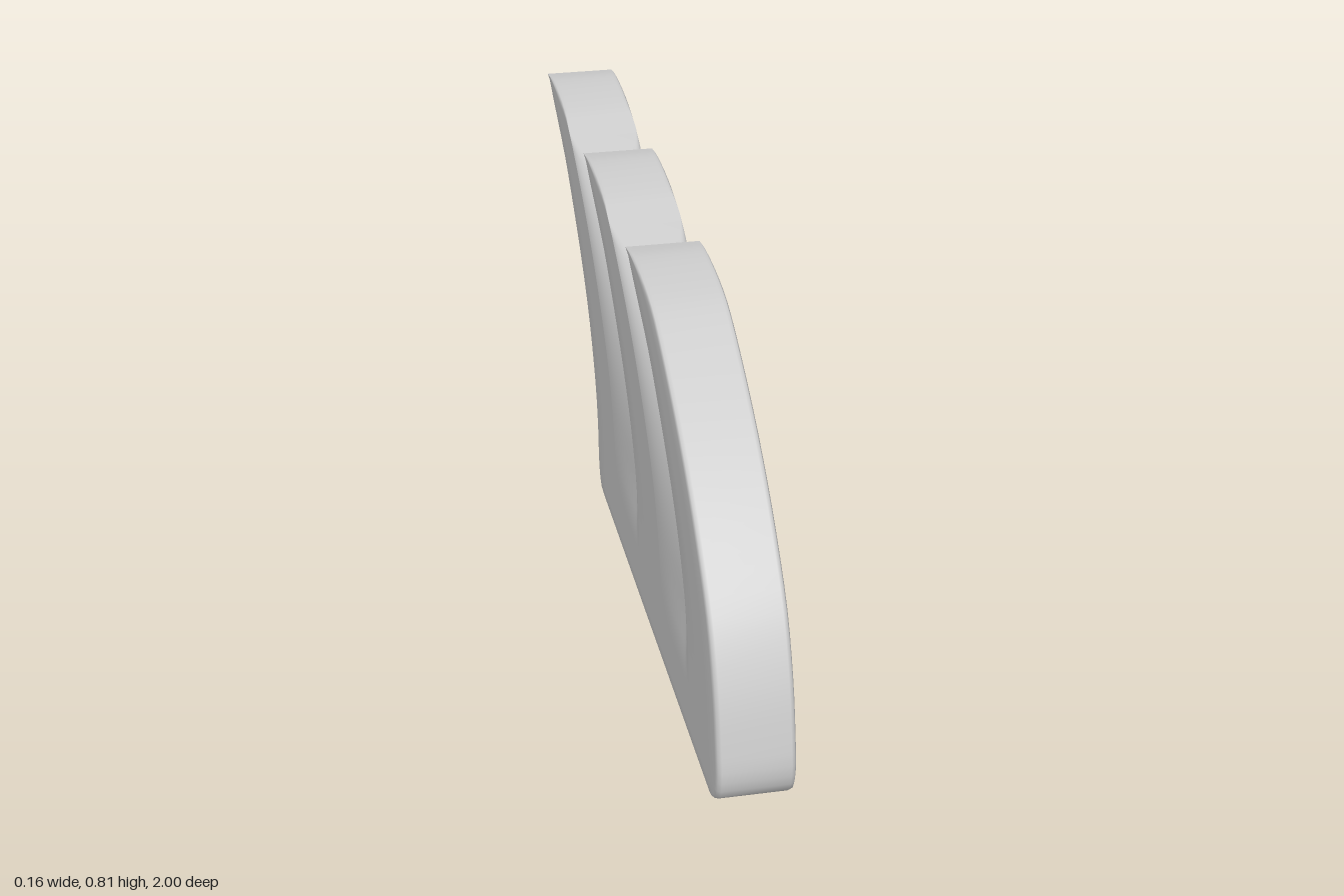
import * as THREE from 'three';

const SUB = 3;            // rows between profile points
const CUT = 9 * SUB;      // row where the webs stop and the free tips begin
const HALF = 0.08;        // half thickness of the plate
const BEVEL = 0.011;
const STEP = 0.53;        // spacing of the fins

// Paired [z, y] profiles of a fin, from the base up to its tip
const toCurve = pts => new THREE.CatmullRomCurve3(
  pts.map(([z, y]) => new THREE.Vector3(0, y, z)), false, 'catmullrom', 0.5);
const FRONT = [[0.87, 0], [0.97, 0.025], [1, 0.08], [0.99, 0.16], [0.96, 0.27], [0.9, 0.39], [0.8, 0.5],
  [0.68, 0.6], [0.54, 0.69], [0.38, 0.77], [0.27, 0.797], [0.14, 0.806], [0.06, 0.795]];
const BACK = [[-0.19, 0], [-0.29, 0.025], [-0.32, 0.08], [-0.33, 0.17], [-0.36, 0.27], [-0.43, 0.39], [-0.52, 0.49],
  [-0.64, 0.59], [-0.76, 0.675], [-0.91, 0.75], [-0.955, 0.773], [-0.98, 0.785], [-1, 0.795]];
const ROWS = (FRONT.length - 1) * SUB;
const frontCurve = toCurve(FRONT), backCurve = toCurve(BACK);
const smooth = (a, b, v) => THREE.MathUtils.smoothstep(v, a, b);

// Edges of fin i at a row; edges inside the plate run straight down to the base
function finEdges(i, row) {
  const f = frontCurve.getPoint(row / ROWS), b = backCurve.getPoint(row / ROWS);
  if (row < 2 * SUB) {
    if (i > 0) f.z = 1;
    if (i < 2) b.z = -0.32;
  }
  f.z -= i * STEP;
  b.z += (2 - i) * STEP;
  return [f, b];
}

// Edge rounding at the front and back of fin i
const frontDrop = (i, row) => BEVEL * (i === 0 ? 1 : smooth(CUT, CUT + 3, row));
const backDrop = (i, y) => BEVEL * (i === 2 ? 1 : smooth(0.2, 0.45, y));
const baseDrop = y => BEVEL * Math.max(0, 1 - y / 0.025) ** 2;

// Cross-section points [z, y, half thickness] of a fin
function finRow(i, row) {
  const [f, b] = finEdges(i, row);
  const w = f.distanceTo(b);
  const e = w > 1e-6 ? Math.min(0.014 / w, 0.2) : 0.2;
  const cols = [[0, 1, 0], [e * 0.3, 0.35, 0], [e, 0, 0], [0.35, 0, 0], [0.5, 0, 0], [0.65, 0, 0],
    [1 - e, 0, 0], [1 - e * 0.3, 0, 0.35], [1, 0, 1]];
  return cols.map(([s, kf, kb]) => {
    const p = f.clone().lerp(b, s);
    const drop = Math.max(kf * frontDrop(i, row), kb * backDrop(i, p.y), baseDrop(p.y));
    return [p.z, p.y, HALF - drop];
  });
}

// Cross-section points of the hollowed web behind fin i
const WEB = 14;
function webRow(i, row) {
  const r = Math.min(row, CUT);
  const a = finEdges(i, r)[1], b = finEdges(i + 1, r)[0];
  const out = [];
  for (let k = 1; k < WEB; k++) {
    const u = (k / WEB) ** 1.5;
    const p = a.clone().lerp(b, u);
    const depth = 0.012 * smooth(0.15, 0.27, p.y) + 0.043 * smooth(0.25, 0.75, p.y);
    const shape = u < 0.14 ? smooth(0, 0.14, u) : 0.5 * (1 - smooth(0.14, 1, u)) + 0.5 * (1 - u) / 0.86;
    const drop = Math.max(depth * shape + backDrop(i, p.y) * (1 - u) ** 8, baseDrop(p.y));
    p.y -= 0.035 * Math.sin(Math.PI * Math.sqrt(u)) * smooth(CUT * 0.6, CUT, r);
    out.push([p.z, p.y, HALF - drop]);
  }
  return out;
}

function finnedPlateGeometry() {
  const grid = [];
  for (let r = 0; r <= ROWS; r++) {
    grid.push([...finRow(0, r), ...webRow(0, r), ...finRow(1, r), ...webRow(1, r), ...finRow(2, r)]);
  }
  const cols = grid[0].length, finCols = 9, period = finCols + WEB - 1;
  const position = [], index = [];
  for (const row of grid) for (const [z, y, x] of row) position.push(x, y, z, -x, y, z);
  const id = (r, c, side) => (r * cols + c) * 2 + side;   // side 0 is +x, 1 is -x
  const quad = (a, b, c, d) => index.push(a, b, c, a, c, d);

  for (let c = 0; c < cols; c++) {
    const k = c % period;
    const isWeb = k >= finCols - 1 && c < cols - 1;       // strip from c to c + 1
    const top = isWeb ? CUT : ROWS;
    if (c < cols - 1) {
      // Left and right faces
      for (let r = 0; r < top; r++) {
        quad(id(r, c, 0), id(r, c + 1, 0), id(r + 1, c + 1, 0), id(r + 1, c, 0));
        quad(id(r, c, 1), id(r + 1, c, 1), id(r + 1, c + 1, 1), id(r, c + 1, 1));
      }
      // Underside, and the top of each strip
      quad(id(0, c, 0), id(0, c, 1), id(0, c + 1, 1), id(0, c + 1, 0));
      quad(id(top, c, 0), id(top, c + 1, 0), id(top, c + 1, 1), id(top, c, 1));
    }
    // Exposed front and back edges of the fins
    if (k === 0) {
      for (let r = c === 0 ? 0 : CUT; r < ROWS; r++) {
        quad(id(r, c, 1), id(r, c, 0), id(r + 1, c, 0), id(r + 1, c, 1));
      }
    }
    if (k === finCols - 1) {
      for (let r = c === cols - 1 ? 0 : CUT; r < ROWS; r++) {
        quad(id(r, c, 0), id(r, c, 1), id(r + 1, c, 1), id(r + 1, c, 0));
      }
    }
  }
  const geometry = new THREE.BufferGeometry();
  geometry.setAttribute('position', new THREE.Float32BufferAttribute(position, 3));
  geometry.setIndex(index);
  geometry.computeVertexNormals();
  return geometry;
}

export function createModel() {
  const group = new THREE.Group();
  group.name = 'sweptFinCrest';
  const plate = new THREE.Mesh(finnedPlateGeometry(), new THREE.MeshStandardMaterial({ color: 0xcccccc }));
  plate.name = 'finnedPlate';
  group.add(plate);
  return group;
}
